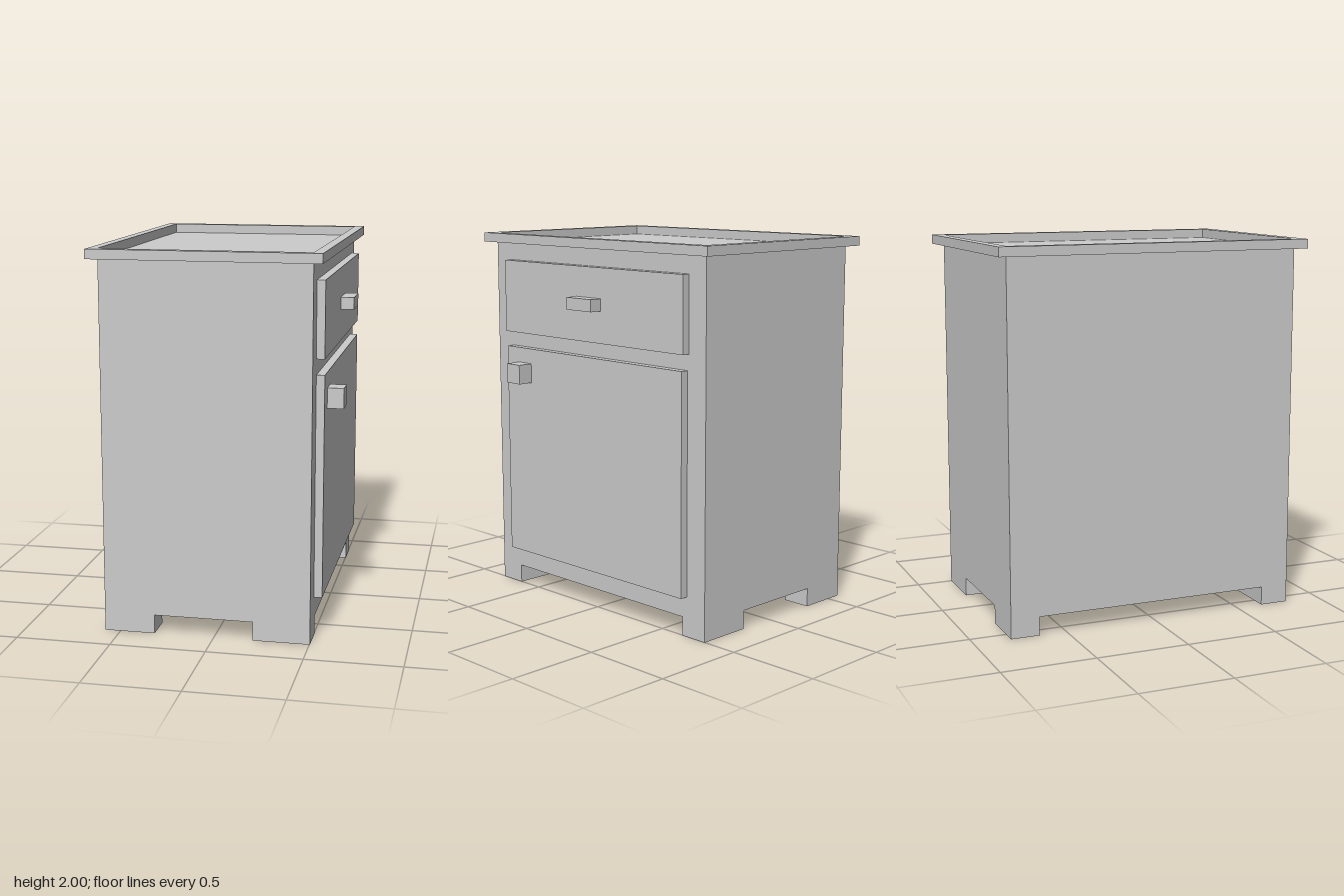
import * as THREE from 'three';

const material = new THREE.MeshStandardMaterial({ color: 0xcccccc, flatShading: true });

// Box given by its extents on each axis
function box(name, [x0, x1], [y0, y1], [z0, z1]) {
  const mesh = new THREE.Mesh(new THREE.BoxGeometry(x1 - x0, y1 - y0, z1 - z0), material);
  mesh.position.set((x0 + x1) / 2, (y0 + y1) / 2, (z0 + z1) / 2);
  mesh.name = name;
  return mesh;
}

// Adds a closed rectangle to a shape or path
function rect(path, x0, x1, z) {
  path.moveTo(x0, -z);
  path.lineTo(x1, -z);
  path.lineTo(x1, z);
  path.lineTo(x0, z);
  path.closePath();
  return path;
}

export function createModel() {
  const cabinet = new THREE.Group();
  cabinet.name = 'cabinet';

  const back = -0.582, front = 0.503, side = 0.803;
  const footTop = 0.1, bodyTop = 1.95, panelFront = 0.546;

  // Carcass, its top face forming the floor of the tray
  cabinet.add(box('body', [back, front], [footTop, bodyTop], [-side, side]));

  // Four corner feet, the front pair slightly deeper
  const feet = new THREE.Group();
  feet.name = 'feet';
  for (const [x0, x1, label] of [[back, -0.315, 'back'], [0.205, front, 'front']]) {
    feet.add(box(label + 'FootA', [x0, x1], [0, footTop], [0.648, side]));
    feet.add(box(label + 'FootB', [x0, x1], [0, footTop], [-side, -0.648]));
  }
  cabinet.add(feet);

  // Raised rim overhanging the carcass around the recessed top
  const outline = rect(new THREE.Shape(), -0.633, 0.555, 0.856);
  outline.holes.push(rect(new THREE.Path(), back, front, side));
  const rimGeometry = new THREE.ExtrudeGeometry(outline, { depth: 0.05, bevelEnabled: false });
  rimGeometry.rotateX(-Math.PI / 2);
  const rim = new THREE.Mesh(rimGeometry, material);
  rim.position.y = bodyTop;
  rim.name = 'topRim';
  cabinet.add(rim);

  // Drawer front with bar handle
  cabinet.add(box('drawerFront', [front, panelFront], [1.46, 1.855], [-0.687, 0.687]));
  cabinet.add(box('drawerHandle', [panelFront, 0.616], [1.63, 1.695], [-0.094, 0.094]));

  // Door with block knob
  cabinet.add(box('door', [front, panelFront], [0.212, 1.378], [-0.678, 0.678]));
  cabinet.add(box('doorKnob', [panelFront, 0.631], [1.19, 1.296], [0.476, 0.58]));

  return cabinet;
}
